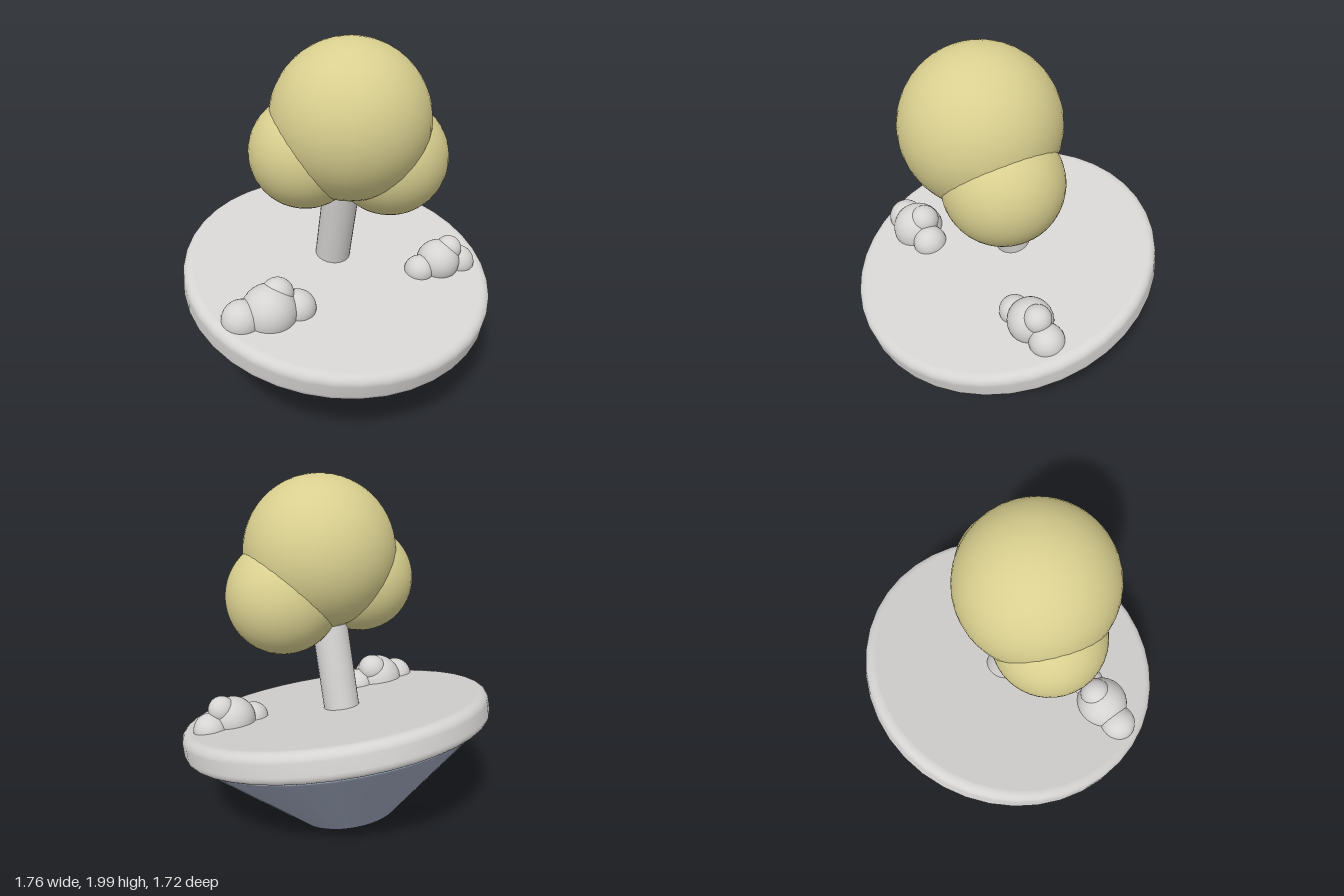
import * as THREE from 'three';

const TILT = 0.25;      // whole island leans forward
const HALF = 0.083;     // half thickness of the disc

export function createModel() {
  const mat = (name, color) => {
    const m = new THREE.MeshStandardMaterial({ color });
    m.name = name;
    return m;
  };
  const stone = mat('pale grey', 0xd6d4d2);
  const leaf = mat('soft yellow', 0xd9cf8f);
  const slate = mat('slate blue', 0x9aa3b8);

  const model = new THREE.Group();
  model.name = 'floatingIsland';
  const island = new THREE.Group();
  island.name = 'tiltedIsland';
  island.position.y = 0.627;
  island.rotation.x = TILT;
  model.add(island);

  const add = (parent, name, geometry, material, x = 0, y = 0, z = 0) => {
    const mesh = new THREE.Mesh(geometry, material);
    mesh.name = name;
    mesh.position.set(x, y, z);
    parent.add(mesh);
    return mesh;
  };
  const cap = (r, y, up) => {
    const g = new THREE.CircleGeometry(r, 40);
    g.rotateX(up ? -Math.PI / 2 : Math.PI / 2);
    return g.translate(0, y, 0);
  };

  // Disc with rounded rim and flat faces
  const R = 0.88, b = 0.05, rim = [];
  for (let i = 0; i <= 6; i++) {
    const a = -Math.PI / 2 + (i / 6) * Math.PI / 2;
    rim.push(new THREE.Vector2(R - b + b * Math.cos(a), -HALF + b + b * Math.sin(a)));
  }
  for (let i = 0; i <= 6; i++) {
    const a = (i / 6) * Math.PI / 2;
    rim.push(new THREE.Vector2(R - b + b * Math.cos(a), HALF - b + b * Math.sin(a)));
  }
  add(island, 'discRim', new THREE.LatheGeometry(rim, 40), stone);
  add(island, 'discTop', cap(R - b, HALF, true), stone);
  add(island, 'discUnderside', cap(R - b, -HALF, false), stone);

  // Tapered base with softened edges
  const base = [[0.265, -0.574], [0.275, -0.572], [0.285, -0.566], [0.80, -0.113],
    [0.818, -0.097], [0.824, -0.09], [0.82, -0.08]].map(p => new THREE.Vector2(...p));
  add(island, 'taperedBase', new THREE.LatheGeometry(base, 40), slate);
  add(island, 'baseBottom', cap(0.265, -0.574, false), slate);

  // Tree: trunk and three overlapping crowns
  const tree = new THREE.Group();
  tree.name = 'tree';
  island.add(tree);
  add(tree, 'trunk', new THREE.CylinderGeometry(0.1, 0.1, 0.64, 24), stone, 0, HALF + 0.3, -0.085);
  [['crownTop', 0.42, 0, 0.96, -0.09],
    ['crownRight', 0.296, -0.22, 0.781, -0.127],
    ['crownLeft', 0.315, 0.225, 0.749, -0.01]].forEach(([name, r, x, y, z]) =>
    add(tree, name, new THREE.SphereGeometry(r, 40, 28), leaf, x, y, z));

  // Shrubs: clusters of spheres [radius, x, height above disc, z]
  const cluster = (name, balls) => {
    const group = new THREE.Group();
    group.name = name;
    island.add(group);
    balls.forEach(([r, x, y, z], i) =>
      add(group, 'shrubBall' + (i + 1), new THREE.SphereGeometry(r, 28, 20), stone, x, HALF + y, z));
  };
  cluster('rightShrub', [
    [0.105, -0.68, 0, 0.261], [0.15, -0.53, 0.008, 0.261],
    [0.1, -0.375, 0, 0.275], [0.087, -0.475, 0.087, 0.225],
  ]);
  cluster('leftShrub', [
    [0.085, 0.41, 0.005, 0.221], [0.125, 0.54, 0.03, 0.21],
    [0.095, 0.68, 0, 0.221], [0.075, 0.605, 0.1, 0.2],
  ]);

  return model;
}
